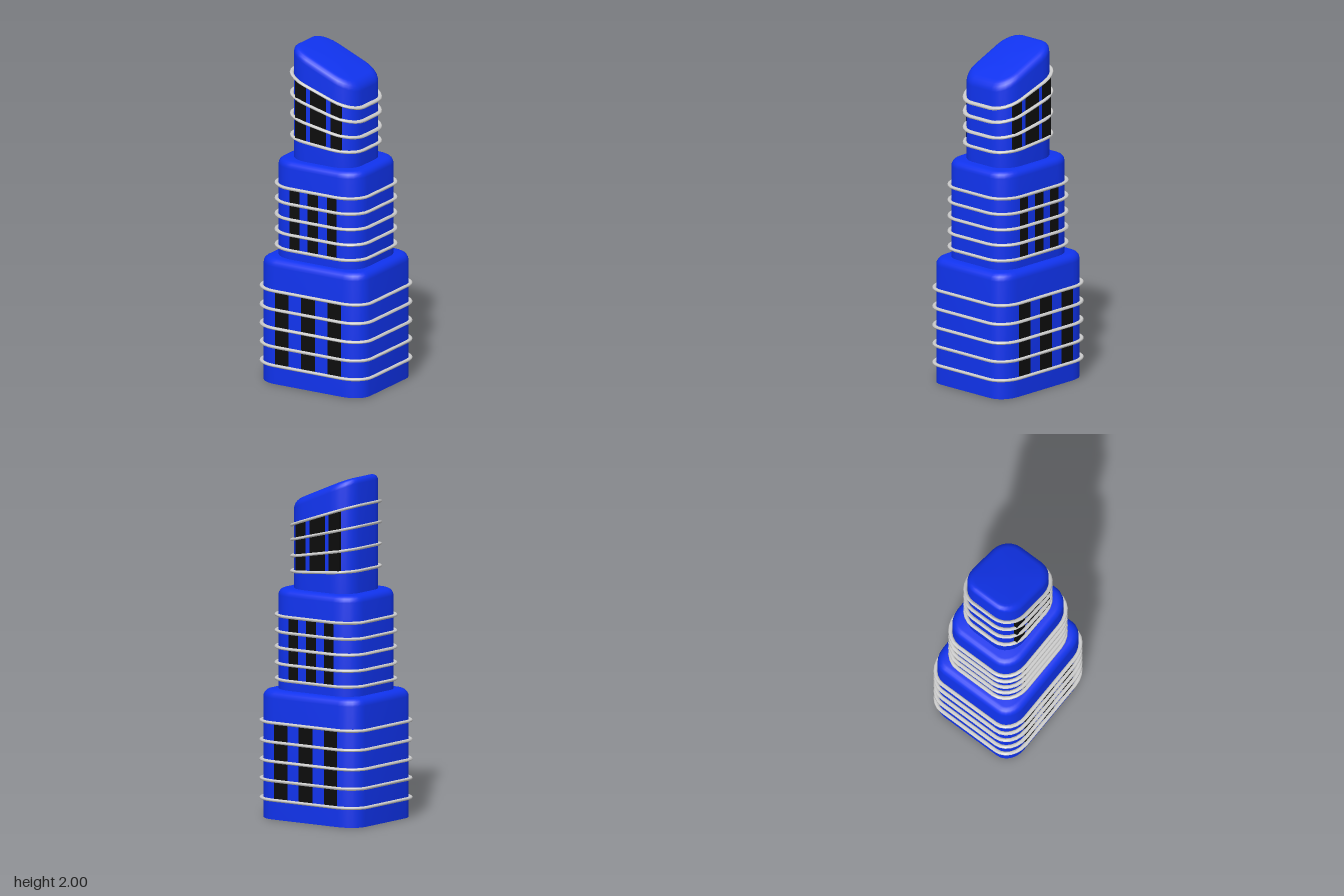
import * as THREE from 'three';
import { toCreasedNormals } from 'three/addons/utils/BufferGeometryUtils.js';

const blue = new THREE.MeshStandardMaterial({ color: 0x1033ee });
const black = new THREE.MeshStandardMaterial({ color: 0x0c0c0c });
const grey = new THREE.MeshStandardMaterial({ color: 0xcccccc });

// Rounded-rectangle plan of a tier, shrunk by an inset
function outline({ hx, hz, rx, rz }, inset, steps = 6) {
  const pts = [];
  for (let q = 0; q < 4; q++) {
    const sx = q === 0 || q === 3 ? 1 : -1, sz = q < 2 ? 1 : -1;
    for (let i = 0; i <= steps; i++) {
      const a = (q + i / steps) * Math.PI / 2;
      pts.push([sx * (hx - rx) + (rx - inset) * Math.cos(a), sz * (hz - rz) + (rz - inset) * Math.sin(a)]);
    }
  }
  return pts;
}

// Skin over rows of { inset, y, slope }; each row tilts along x by its slope
function loft(tier, rows, capped) {
  const pos = [], idx = [];
  const n = outline(tier, 0).length;
  for (const { inset, y, slope } of rows)
    for (const [x, z] of outline(tier, inset)) pos.push(x, y + slope * x, z);
  for (let r = 0; r < rows.length - 1; r++)
    for (let j = 0; j < n; j++) {
      const k = (j + 1) % n, a = r * n + j, b = r * n + k;
      idx.push(a, a + n, b, b, a + n, b + n);
    }
  if (capped) {
    const last = (rows.length - 1) * n, c = rows.length * n;
    pos.push(0, rows[0].y, 0, 0, rows.at(-1).y, 0);
    for (let j = 0; j < n; j++) {
      const k = (j + 1) % n;
      idx.push(c, j, k, c + 1, last + k, last + j);
    }
  }
  const geo = new THREE.BufferGeometry();
  geo.setAttribute('position', new THREE.Float32BufferAttribute(pos, 3));
  geo.setIndex(idx);
  return toCreasedNormals(geo, 0.9);
}

// Tier body with straight walls and a rounded upper edge
function bodyGeometry(tier) {
  const { bottom, top, slope, bevel } = tier;
  const rows = [{ inset: 0, y: bottom, slope: 0 }];
  for (let i = 0; i <= 5; i++) {
    const a = i / 5 * Math.PI / 2;
    rows.push({ inset: bevel * (1 - Math.cos(a)), y: top - bevel * (1 - Math.sin(a)), slope });
  }
  return loft(tier, rows, true);
}

// Thin band around a tier
function ringGeometry(tier, [y, slope]) {
  const rows = [];
  for (let i = 0; i <= 10; i++) {
    const a = i / 10 * Math.PI * 2;
    rows.push({ inset: -0.012 - 0.012 * Math.cos(a), y: y + 0.009 * Math.sin(a), slope });
  }
  return loft(tier, rows, false);
}

// Dark window strip running through the tier, from its lowest to its highest ring
function windowGeometry(tier, [x0, x1]) {
  const at = ([y, slope], x) => y + slope * x;
  const lo = tier.rings[0], hi = tier.rings.at(-1);
  const shape = new THREE.Shape([
    new THREE.Vector2(x0, at(lo, x0)), new THREE.Vector2(x1, at(lo, x1)),
    new THREE.Vector2(x1, at(hi, x1)), new THREE.Vector2(x0, at(hi, x0)),
  ]);
  const depth = 2 * (tier.hz + 0.004);
  return new THREE.ExtrudeGeometry(shape, { depth, bevelEnabled: false }).translate(0, 0, -depth / 2);
}

const level = (y0, step) => [0, 1, 2, 3, 4].map(i => [y0 + i * step, 0]);

const tiers = [
  { name: 'lowerTier', hx: 0.354, hz: 0.296, rx: 0.125, rz: 0.1, bottom: 0, top: 0.75, slope: 0, bevel: 0.045,
    rings: level(0.115, 0.1125), windows: [[-0.225, -0.135], [-0.05, 0.045], [0.13, 0.22]] },
  { name: 'middleTier', hx: 0.292, hz: 0.243, rx: 0.135, rz: 0.115, bottom: 0.7, top: 1.335, slope: 0, bevel: 0.04,
    rings: level(0.808, 0.093), windows: [[-0.16, -0.095], [-0.037, 0.032], [0.093, 0.156]] },
  { name: 'upperTier', hx: 0.221, hz: 0.186, rx: 0.13, rz: 0.11, bottom: 1.3, top: 1.926, slope: -0.42, bevel: 0.045,
    rings: [[1.449, -0.08], [1.557, -0.175], [1.667, -0.25], [1.77, -0.335]],
    windows: [[-0.16, -0.087], [-0.058, 0.05], [0.082, 0.15]] },
];

export function createModel() {
  const model = new THREE.Group();
  model.name = 'tower';
  for (const tier of tiers) {
    const group = new THREE.Group();
    group.name = tier.name;
    const add = (name, geo, mat) => {
      const mesh = new THREE.Mesh(geo, mat);
      mesh.name = name;
      group.add(mesh);
    };
    add('body', bodyGeometry(tier), blue);
    tier.rings.forEach(r => add('ring', ringGeometry(tier, r), grey));
    tier.windows.forEach(w => add('windowStrip', windowGeometry(tier, w), black));
    model.add(group);
  }
  return model;
}
